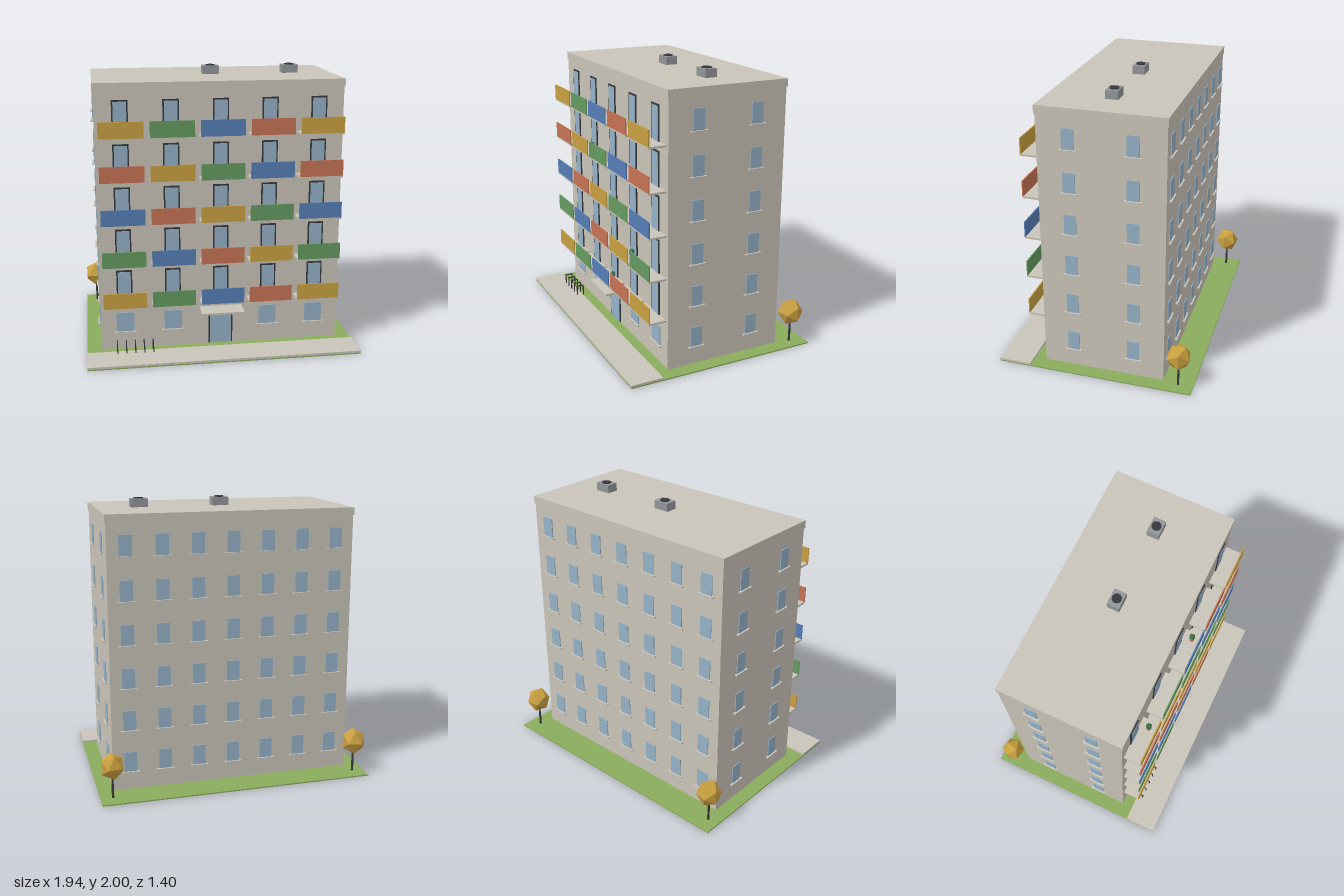
import * as THREE from 'three';

const mat = (name, color, extra = {}) => {
  const m = new THREE.MeshStandardMaterial({ color, ...extra });
  m.name = name;
  return m;
};

export function createModel() {
  const wall = mat('concrete', 0xc9c4b8);
  const glass = mat('glass', 0x94b1c7);
  const dark = mat('darkMetal', 0x36383c);
  const grey = mat('ventGrey', 0x93969a);
  const grass = mat('grass', 0x8aac5c);
  const leaf = mat('leafGreen', 0x3f7048, { flatShading: true });
  const yellow = mat('ochre', 0xc9a040);
  const green = mat('green', 0x659a60);
  const blue = mat('blue', 0x557eb6);
  const orange = mat('terracotta', 0xc67353);
  const panelMats = [yellow, green, blue, orange];

  const model = new THREE.Group();
  model.name = 'apartmentBlock';

  const add = (parent, name, geo, material, x, y, z) => {
    const m = new THREE.Mesh(geo, material);
    m.name = name;
    m.position.set(x, y, z);
    parent.add(m);
    return m;
  };
  // box standing on height y
  const box = (parent, name, material, w, h, d, x, y, z) =>
    add(parent, name, new THREE.BoxGeometry(w, h, d), material, x, y + h / 2, z);
  const group = (name, x = 0, y = 0, z = 0, turn = 0) => {
    const g = new THREE.Group();
    g.name = name;
    g.position.set(x, y, z);
    g.rotation.y = turn;
    model.add(g);
    return g;
  };

  const FRONT = 0.384, BACK = -0.486, SIDE = 0.868, FLOOR = 0.303;
  const midZ = (FRONT + BACK) / 2;
  const columns = [-0.692, -0.346, 0, 0.346, 0.692];

  // ground, pavement, main block and roof cap
  box(model, 'lawn', grass, 1.944, 0.009, 1.404, 0, 0, 0);
  box(model, 'pavement', wall, 1.944, 0.015, 0.235, 0, 0.009, 0.585);
  box(model, 'mainBlock', wall, SIDE * 2, 1.871, FRONT - BACK, 0, 0.009, midZ);
  box(model, 'roofCap', wall, 1.748, 0.055, 0.882, 0, 1.88, midZ);

  // window with sill, facing local +z, sill bottom at y = 0
  const window_ = (x, y, z, turn, w, sillW) => {
    const g = group('window', x, y, z, turn);
    box(g, 'windowPane', glass, w, 0.142, 0.012, 0, 0.01, 0);
    box(g, 'windowSill', wall, sillW, 0.01, 0.03, 0, 0, 0.003);
  };
  for (let f = 0; f < 6; f++) {
    const y = 0.132 + f * FLOOR;
    for (let i = -3; i <= 3; i++) window_(i * 0.247, y, BACK, Math.PI, 0.09, 0.125);
    for (const s of [-1, 1])
      for (const z of [0.167, -0.267]) window_(s * SIDE, y, z, s * Math.PI / 2, 0.085, 0.12);
  }
  for (const x of columns) if (x !== 0) window_(x, 0.132, FRONT, 0, 0.127, 0.163);

  // glazed door with a dark frame on the front wall
  const door = (name, x, y, w, h) => {
    const g = group(name, x, y, FRONT);
    box(g, 'doorFrame', dark, w, h, 0.014, 0, 0, 0);
    box(g, 'doorGlass', glass, w - 0.02, h - 0.011, 0.004, 0, 0, 0.007);
  };
  door('entranceDoor', 0, 0.015, 0.175, 0.257);
  box(model, 'entranceCanopy', wall, 0.306, 0.015, 0.146, 0, 0.286, FRONT + 0.073);

  // balconies with coloured panels
  const planters = ['4,0', '4,2', '3,1', '1,3', '0,2'];
  for (let f = 0; f < 5; f++) {
    columns.forEach((x, c) => {
      const y = 0.353 + f * FLOOR;
      door('balconyDoor', x, y + 0.014, 0.112, 0.24);
      const g = group('balcony', x, y, 0);
      box(g, 'balconySlab', wall, 0.305, 0.014, 0.126, 0, 0, FRONT + 0.063);
      box(g, 'balconyPanel', panelMats[(c + f) % 4], 0.305, 0.113, 0.008, 0, 0.012, 0.507);
      if (planters.includes(`${f},${c}`)) {
        add(g, 'plantPot', new THREE.CylinderGeometry(0.017, 0.014, 0.042, 10), orange, 0.093, 0.035, 0.448);
        add(g, 'plant', new THREE.IcosahedronGeometry(0.023, 0), leaf, 0.093, 0.072, 0.448);
      }
    });
  }

  // roof vents
  for (const [x, z] of [[-0.013, -0.062], [0.57, -0.052]]) {
    const g = group('roofVent', x, 1.935, z);
    box(g, 'ventBox', grey, 0.118, 0.058, 0.087, 0, 0, 0);
    add(g, 'ventCap', new THREE.CylinderGeometry(0.034, 0.034, 0.008, 10), dark, 0, 0.061, 0);
  }

  // trees behind the building
  const crownMat = yellow.clone();
  crownMat.flatShading = true;
  for (const [x, turn] of [[-0.89, 1.35], [0.887, 1.75]]) {
    const g = group('tree', x, 0, -0.595, turn);
    add(g, 'trunk', new THREE.CylinderGeometry(0.007, 0.009, 0.18, 6), dark, 0, 0.095, 0);
    const crown = add(g, 'crown', new THREE.IcosahedronGeometry(0.09, 0), crownMat, 0, 0.24, 0);
    crown.scale.y = 1.08;
  }

  // bicycle hoops on the pavement
  for (let i = 0; i < 5; i++) {
    const g = group('bicycleHoop', -0.757 + i * 0.064, 0, 0.484);
    for (const z of [-0.026, 0.026]) box(g, 'hoopLeg', dark, 0.007, 0.09, 0.007, 0, 0.009, z);
    box(g, 'hoopBar', dark, 0.007, 0.007, 0.059, 0, 0.094, 0);
  }
  return model;
}
